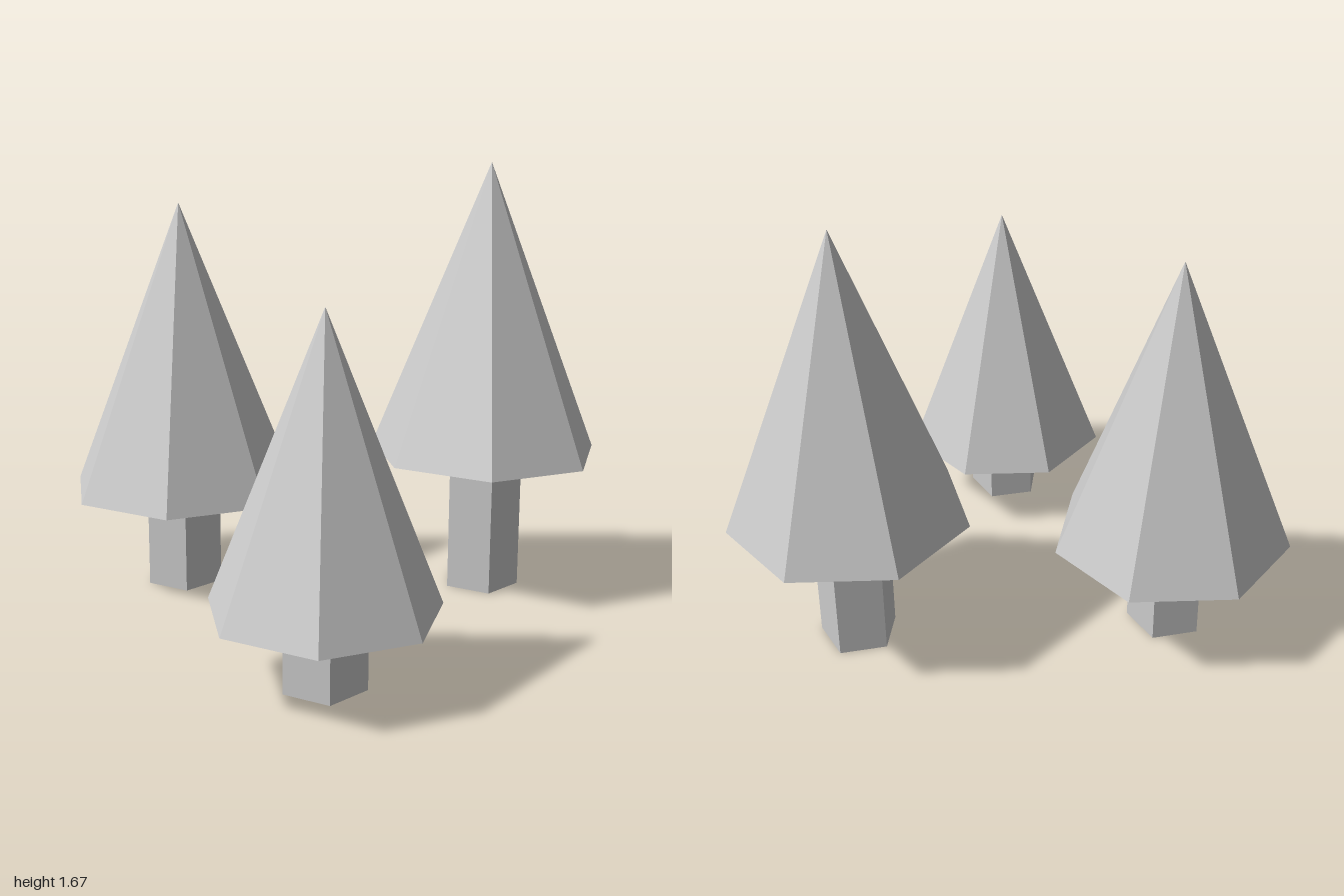
import * as THREE from 'three';

const material = new THREE.MeshStandardMaterial({ color: 0xcccccc, flatShading: true });

// One tree: a five-sided trunk under a seven-sided cone, each with a corner to the back
function makeTree({ name, x, z, radius, base, top }) {
  const tree = new THREE.Group();
  tree.name = name;
  tree.position.set(x, 0, z);

  const trunk = new THREE.Mesh(
    new THREE.CylinderGeometry(0.15, 0.15, base, 5, 1, false, Math.PI), material);
  trunk.name = 'trunk';
  trunk.position.y = base / 2;

  const foliage = new THREE.Mesh(
    new THREE.ConeGeometry(radius, top - base, 7, 1, false, Math.PI), material);
  foliage.name = 'foliage';
  foliage.position.y = (base + top) / 2;

  tree.add(trunk, foliage);
  return tree;
}

export function createModel() {
  const model = new THREE.Group();
  model.name = 'treeCluster';
  const trees = [
    { name: 'mediumTree', x: -0.53, z: 0, radius: 0.45, base: 0.39, top: 1.515 },
    { name: 'tallTree', x: 0.525, z: -0.55, radius: 0.45, base: 0.545, top: 1.67 },
    { name: 'smallTree', x: 0.445, z: 0.633, radius: 0.406, base: 0.27, top: 1.283 },
  ];
  for (const spec of trees) model.add(makeTree(spec));
  return model;
}
